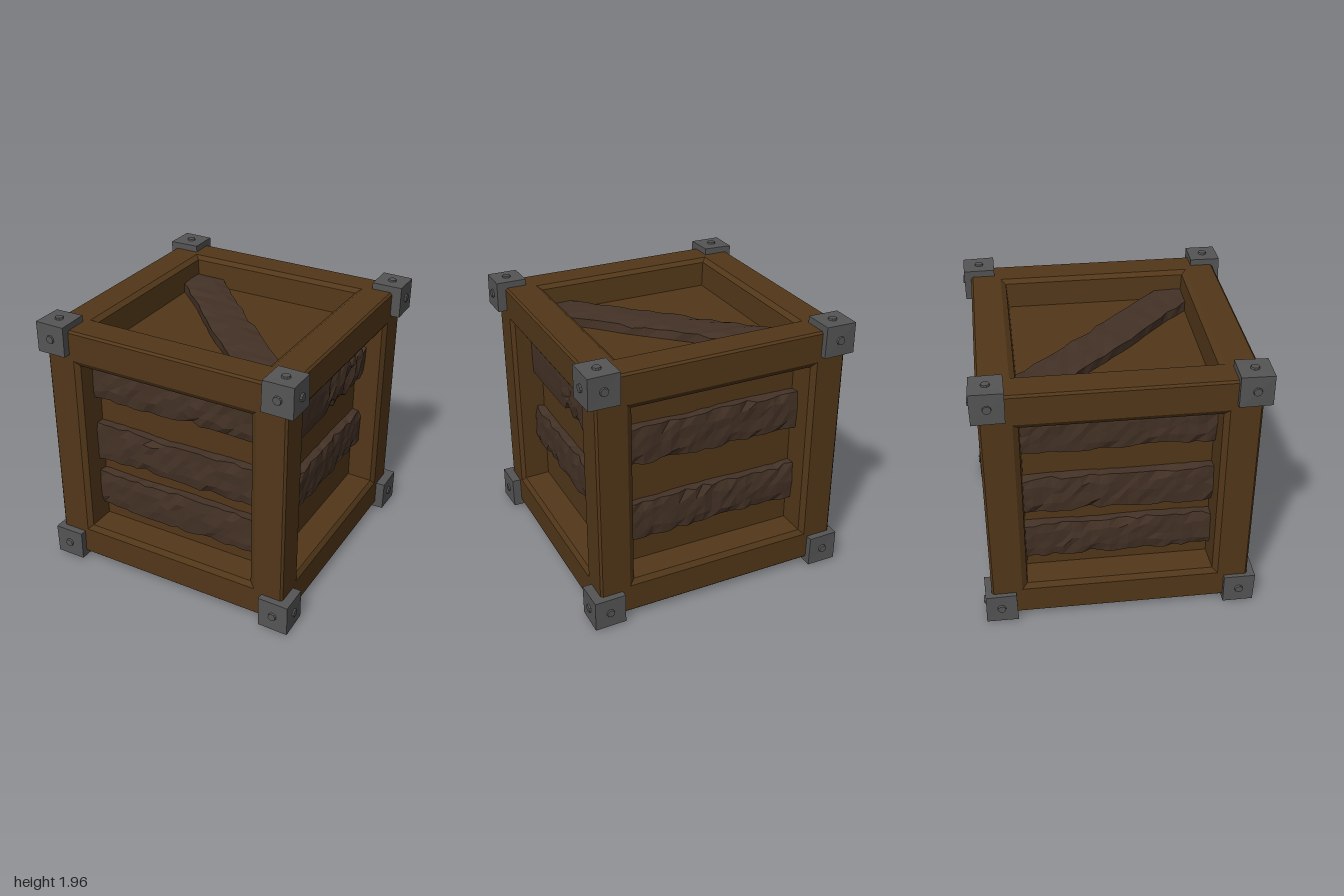
import * as THREE from 'three';

const mat = (color) => new THREE.MeshStandardMaterial({ color, flatShading: true, roughness: 0.9 });
const wood = mat(0x523719);
const oldWood = mat(0x443226);
const metal = mat(0x555555);

// Repeatable noise in -1..1 for a position and seed
function noise(x, y, z, seed) {
  const s = Math.sin(x * 127.1 + y * 311.7 + z * 74.7 + seed * 53.3) * 43758.5453;
  return (s - Math.floor(s)) * 2 - 1;
}

function mesh(geometry, material, name) {
  const m = new THREE.Mesh(geometry, material);
  m.name = name;
  return m;
}

// One side of the crate: square frame stepping down to a sunken panel, facing +z
function makeSide() {
  const profile = [[0.9225, 0.9225], [0.915, 0.93], [0.71, 0.93], [0.672, 0.905], [0.658, 0.72], [0, 0.72]];
  const points = profile.map(([r, h]) => new THREE.Vector2(r * Math.SQRT2, h));
  const g = new THREE.LatheGeometry(points, 4, Math.PI / 4);
  g.rotateX(Math.PI / 2);
  return mesh(g, wood, 'frameAndPanel');
}

// Worn plank with wavy, chipped long edges; wear(x) scales the damage
function makePlank(length, height, seed, wear = () => 1) {
  const thick = 0.08;
  const g = new THREE.BoxGeometry(length, height, thick, 20, 4, 1);
  const p = g.attributes.position;
  for (let i = 0; i < p.count; i++) {
    const x = p.getX(i), y = p.getY(i), z = p.getZ(i);
    const kx = Math.round(x * 100), ky = Math.round(y * 100), kz = Math.round(z * 100);
    const w = wear(x);
    const isEdge = Math.abs(y) > height / 2 - 0.001;
    if (isEdge) {
      const wave = Math.sin(x * 7 + seed * 2 + Math.sign(y)) * 0.005;
      const chip = Math.max(0, noise(kx, ky, kz, seed)) * (z > 0 ? 0.022 : 0.008);
      p.setY(i, y + wave * w - Math.sign(y) * chip * w);
      if (z > 0) p.setZ(i, z - 0.004 - Math.max(0, noise(kx, ky, 3, seed + 5)) * 0.025 * w);
    } else {
      p.setY(i, y + noise(kx, ky, 5, seed) * 0.02 * w);
      if (z > 0) p.setZ(i, z + noise(kx, ky, 7, seed) * 0.007 * w);
    }
  }
  g.computeVertexNormals();
  return mesh(g, oldWood, 'plank');
}

// Metal corner block, slightly uneven, with a rivet on each outer face
function makeCorner(sx, sy, sz) {
  const corner = new THREE.Group();
  corner.name = 'cornerBracket';
  const g = new THREE.BoxGeometry(0.225, 0.225, 0.225);
  const p = g.attributes.position;
  for (let i = 0; i < p.count; i++) {
    const v = new THREE.Vector3().fromBufferAttribute(p, i);
    const k = (n) => noise(Math.sign(v.x) + sx * 3, Math.sign(v.y) + sy * 3, Math.sign(v.z) + sz * 3, n) * 0.004;
    p.setXYZ(i, v.x + k(1), v.y + k(2), v.z + k(3));
  }
  g.computeVertexNormals();
  corner.add(mesh(g, metal, 'bracketBlock'));
  const up = new THREE.Vector3(0, 1, 0);
  for (const dir of [[sx, 0, 0], [0, sy, 0], [0, 0, sz]]) {
    const d = new THREE.Vector3(...dir);
    const rivet = mesh(new THREE.CylinderGeometry(0.028, 0.036, 0.03, 10), metal, 'rivet');
    rivet.quaternion.setFromUnitVectors(up, d);
    rivet.position.copy(d).multiplyScalar(0.11);
    corner.add(rivet);
  }
  return corner;
}

export function createModel() {
  const model = new THREE.Group();
  model.name = 'crate';

  const body = new THREE.Group();
  body.name = 'crateBody';
  body.position.set(-0.02, 0.975, -0.008);
  model.add(body);

  // Each side: rotation and the heights of its planks about the middle
  const three = [0.517, 0.01, -0.395];
  const H = Math.PI / 2;
  const sides = [
    { name: 'frontSide', rot: [0, 0, 0], planks: three },
    { name: 'leftSide', rot: [0, H, 0], planks: [0.4, -0.19], broken: true },
    { name: 'backSide', rot: [0, Math.PI, 0], planks: [0.29, -0.3] },
    { name: 'rightSide', rot: [0, -H, 0], planks: three },
    { name: 'topSide', rot: [-H, 0, 0], planks: [], diagonal: true },
    { name: 'bottomSide', rot: [H, 0, 0], planks: [] },
  ];
  sides.forEach((s, n) => {
    const side = new THREE.Group();
    side.name = s.name;
    side.rotation.set(...s.rot);
    side.add(makeSide());
    s.planks.forEach((y, i) => {
      // The first plank of the broken side is intact on one half, splintered on the other
      const wear = s.broken && i === 0 ? (x) => (x < -0.02 ? 0.15 : 2) : undefined;
      const plank = makePlank(1.33, 0.295, n * 4 + i + 1, wear);
      plank.position.set(0, y, 0.75);
      side.add(plank);
    });
    if (s.diagonal) {
      const plank = makePlank(1.94, 0.31, 31);
      plank.name = 'diagonalPlank';
      plank.rotation.z = -Math.PI / 4;
      plank.position.set(-0.005, 0.005, 0.75);
      side.add(plank);
    }
    body.add(side);
  });

  // Eight corner brackets
  for (const sx of [-1, 1]) for (const sy of [-1, 1]) for (const sz of [-1, 1]) {
    const corner = makeCorner(sx, sy, sz);
    corner.position.set(-0.004 + sx * 0.867, 0.982 + sy * 0.857, -0.006 + sz * 0.867);
    model.add(corner);
  }
  return model;
}
